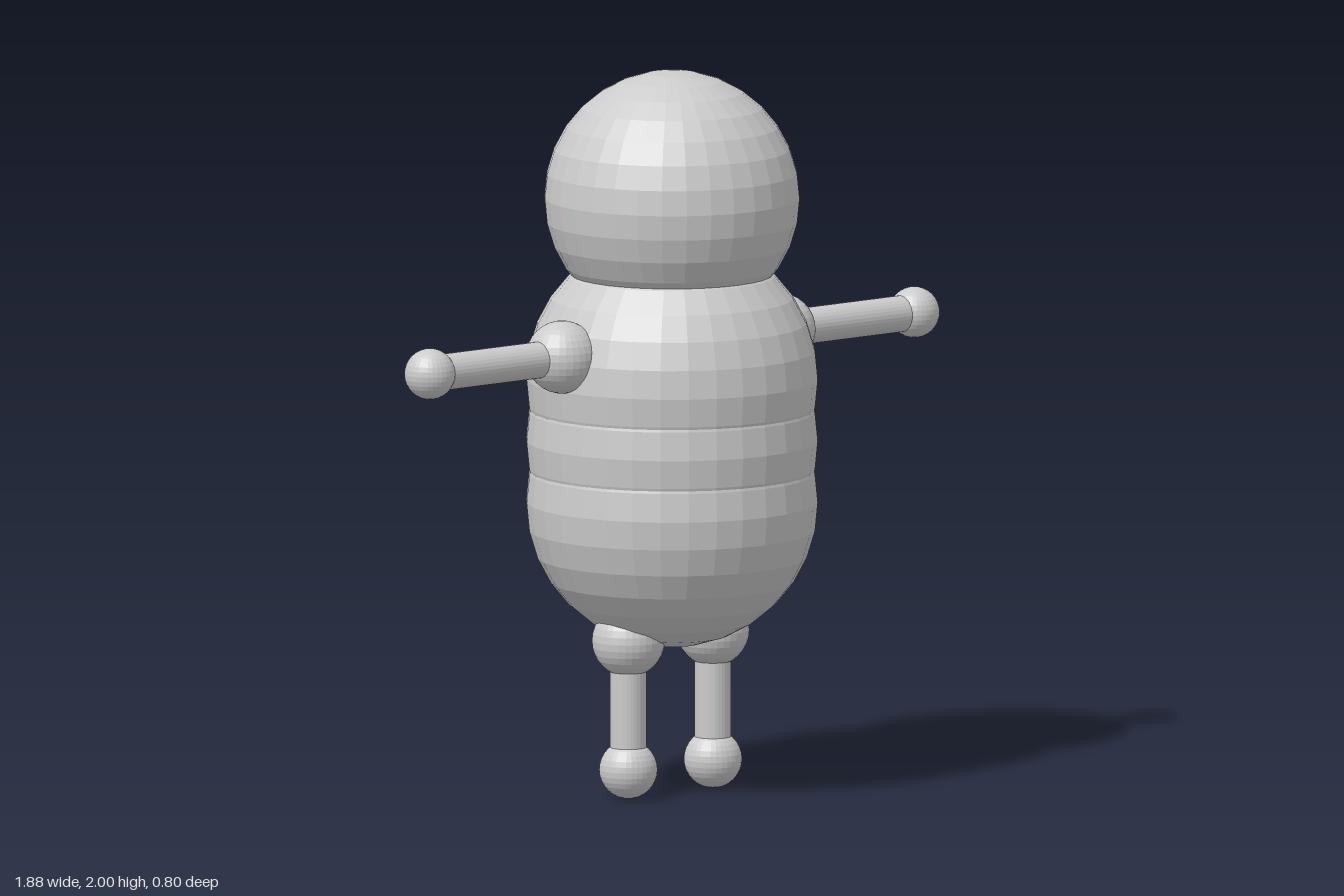
import * as THREE from 'three';

const material = new THREE.MeshStandardMaterial({ color: 0xcccccc, flatShading: true });

// Faceted ball of radius r
function ball(name, r, x, y) {
  const mesh = new THREE.Mesh(new THREE.SphereGeometry(r, 32, 16), material);
  mesh.name = name;
  mesh.position.set(x, y, 0);
  return mesh;
}

// Straight rod joining the centres of two balls
function rod(name, r, from, to) {
  const dir = to.position.clone().sub(from.position);
  const mesh = new THREE.Mesh(new THREE.CylinderGeometry(r, r, dir.length(), 32), material);
  mesh.name = name;
  mesh.position.copy(from.position).addScaledVector(dir, 0.5);
  mesh.quaternion.setFromUnitVectors(new THREE.Vector3(0, 1, 0), dir.normalize());
  return mesh;
}

// Limb: a joint ball, a rod and an end ball
function limb(name, rodName, start, end) {
  const group = new THREE.Group();
  group.name = name;
  group.add(start, rod(rodName, 0.05, start, end), end);
  return group;
}

export function createModel() {
  const model = new THREE.Group();
  model.name = 'figure';

  // Head and three overlapping body balls
  model.add(
    ball('head', 0.35, 0, 1.65),
    ball('chest', 0.4, 0, 1.15),
    ball('waist', 0.4, 0, 0.98),
    ball('belly', 0.4, 0, 0.81)
  );

  // Arms and legs, the joints sitting slightly off centre
  const shift = -0.005;
  for (const [side, s] of [['left', 1], ['right', -1]]) {
    model.add(
      limb(side + 'Arm', 'armRod',
        ball('shoulder', 0.1, s * 0.39 + shift, 1.247),
        ball('hand', 0.07, s * 0.87, 1.247)),
      limb(side + 'Leg', 'legRod',
        ball('hip', 0.1, s * 0.152 + shift, 0.44),
        ball('foot', 0.08, s * 0.152 + shift, 0.083))
    );
  }
  return model;
}
